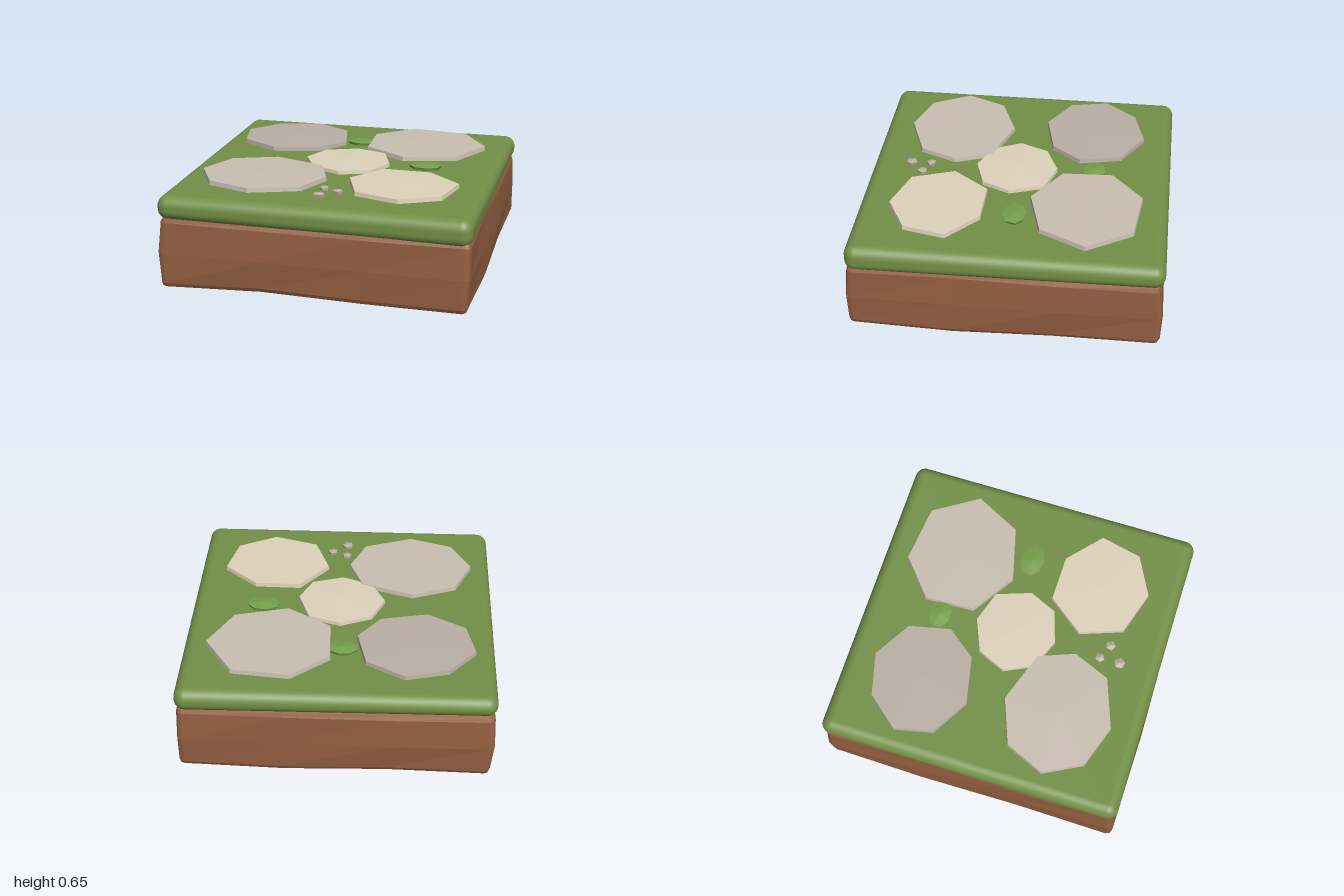
import * as THREE from 'three';
import { RoundedBoxGeometry } from 'three/addons/geometries/RoundedBoxGeometry.js';

const mat = (color, flatShading = true) => new THREE.MeshStandardMaterial({ color, flatShading, roughness: 1 });

function part(name, geometry, material) {
  const mesh = new THREE.Mesh(geometry, material);
  mesh.name = name;
  return mesh;
}

// Low-poly slab from an outline of [x, z] points, clockwise seen from above
function slab(outline, y0, y1, dome, flare) {
  const n = outline.length;
  const cx = outline.reduce((s, p) => s + p[0], 0) / n;
  const cz = outline.reduce((s, p) => s + p[1], 0) / n;
  const pos = [], idx = [];
  // rings: bottom, top; then the two centres
  for (const [y, k] of [[y0, flare], [y1, 1]])
    for (const [x, z] of outline) pos.push(cx + (x - cx) * k, y, cz + (z - cz) * k);
  pos.push(cx, y0, cz, cx, y1 + dome, cz);
  for (let i = 0; i < n; i++) {
    const j = (i + 1) % n;
    idx.push(2 * n + 1, n + j, n + i, 2 * n, i, j);
    idx.push(i, n + i, n + j, i, n + j, j);
  }
  const g = new THREE.BufferGeometry();
  g.setAttribute('position', new THREE.Float32BufferAttribute(pos, 3));
  g.setIndex(idx);
  g.computeVertexNormals();
  return g;
}

// Regular outline used for tufts and pebbles
function oval(cx, cz, rx, rz, sides, turn) {
  return Array.from({ length: sides }, (_, i) => {
    const a = turn + (i / sides) * Math.PI * 2;
    return [cx + Math.cos(a) * rx, cz + Math.sin(a) * rz];
  });
}

// Chamfered earth block with gently uneven sides
function soilGeometry() {
  const g = new THREE.BoxGeometry(2, 2, 2, 5, 4, 5);
  const p = g.attributes.position;
  const v = new THREE.Vector3(), core = new THREE.Vector3();
  const r = 0.035, half = 0.98, halfY = 0.235;
  const max = new THREE.Vector3(half - r, halfY - r, half - r);
  const min = max.clone().negate();
  // grid lines: outer face, chamfer line, inner line
  const spread = (u, h, inner) => {
    const a = Math.abs(u);
    return Math.sign(u) * (a > 0.9 ? h : a > 0.4 ? h - r : inner);
  };
  for (let i = 0; i < p.count; i++) {
    v.set(spread(p.getX(i), half, 0.32), spread(p.getY(i), halfY, 0), spread(p.getZ(i), half, 0.32));
    core.copy(v).clamp(min, max);
    v.sub(core).setLength(r).add(core);
    const bulge = 0.012 * (1 - Math.abs(v.y) / halfY);
    const wx = Math.sin(v.z * 4.1 + v.y * 9 + v.x * 2) * 0.007 + bulge;
    const wz = Math.sin(v.x * 3.7 - v.y * 8 + v.z * 3) * 0.007 + bulge;
    const lift = v.y < -0.15 ? 0.012 * (1 + Math.sin(v.x * 4 + v.z * 2.3)) : 0;
    p.setXYZ(i, v.x * (1 + wx), v.y + halfY + lift, v.z * (1 + wz));
  }
  g.computeVertexNormals();
  g.computeBoundingBox();
  g.translate(0, -g.boundingBox.min.y, 0);
  return g;
}

// Smooth turf cushion whose lower rim slopes a little
function turfGeometry() {
  const g = new RoundedBoxGeometry(1.99, 0.155, 1.985, 5, 0.07);
  g.translate(-0.003, 0.5275, -0.004);
  const p = g.attributes.position;
  for (let i = 0; i < p.count; i++) {
    if (p.getY(i) < 0.52) p.setY(i, p.getY(i) - 0.01 * p.getX(i) - 0.0125 * p.getZ(i));
  }
  return g;
}

export function createModel() {
  const model = new THREE.Group();
  model.name = 'gardenPathTile';
  model.add(part('soil', soilGeometry(), mat(0x945f40)));
  model.add(part('turf', turfGeometry(), mat(0x739047, false)));

  // Paving stones
  const grey = mat(0xcac0b3), darkGrey = mat(0xbab0a5), tan = mat(0xdfd3bb);
  const stones = [
    ['backLeftStone', darkGrey, 0.644, [[-0.87, -0.53], [-0.7, -0.735], [-0.425, -0.805], [-0.18, -0.66],
      [-0.12, -0.39], [-0.265, -0.2], [-0.57, -0.135], [-0.815, -0.28]]],
    ['backRightStone', grey, 0.646, [[0.285, -0.825], [0.655, -0.785], [0.84, -0.495], [0.69, -0.2],
      [0.345, -0.11], [0.06, -0.295], [0.045, -0.62]]],
    ['centreStone', tan, 0.64, [[0, -0.25], [0.205, -0.185], [0.285, 0.04], [0.205, 0.22],
      [0, 0.285], [-0.195, 0.205], [-0.285, 0.02], [-0.205, -0.165]]],
    ['frontLeftStone', grey, 0.645, [[-0.465, 0.09], [-0.13, 0.205], [-0.04, 0.44], [-0.14, 0.68],
      [-0.455, 0.795], [-0.735, 0.7], [-0.865, 0.455], [-0.755, 0.2]]],
    ['frontRightStone', tan, 0.644, [[0.29, 0.18], [0.59, 0.185], [0.81, 0.38], [0.75, 0.65],
      [0.5, 0.78], [0.21, 0.69], [0.11, 0.415]]],
  ];
  for (const [name, material, top, outline] of stones)
    model.add(part(name, slab(outline, 0.616, top, 0.006, 1.01), material));

  // Grass tufts between the stones
  const leaf = mat(0x76a04d);
  [[-0.03, -0.495, 0.1, 0.075], [0.515, -0.025, 0.11, 0.078]].forEach(([x, z, rx, rz], i) => {
    model.add(part('grassTuft' + (i + 1), slab(oval(x, z, rx, rz, 8, 0.3 + i * 0.3), 0.608, 0.626, 0.012, 0.92), leaf));
  });

  // Pebbles
  [[-0.01, 0.595, 0.032], [0.09, 0.64, 0.034], [-0.01, 0.728, 0.038]].forEach(([x, z, r], i) => {
    model.add(part('pebble' + (i + 1), slab(oval(x, z, r, r, 5, 0.4 + i), 0.606, 0.626, 0.01, 0.9), darkGrey));
  });
  return model;
}
